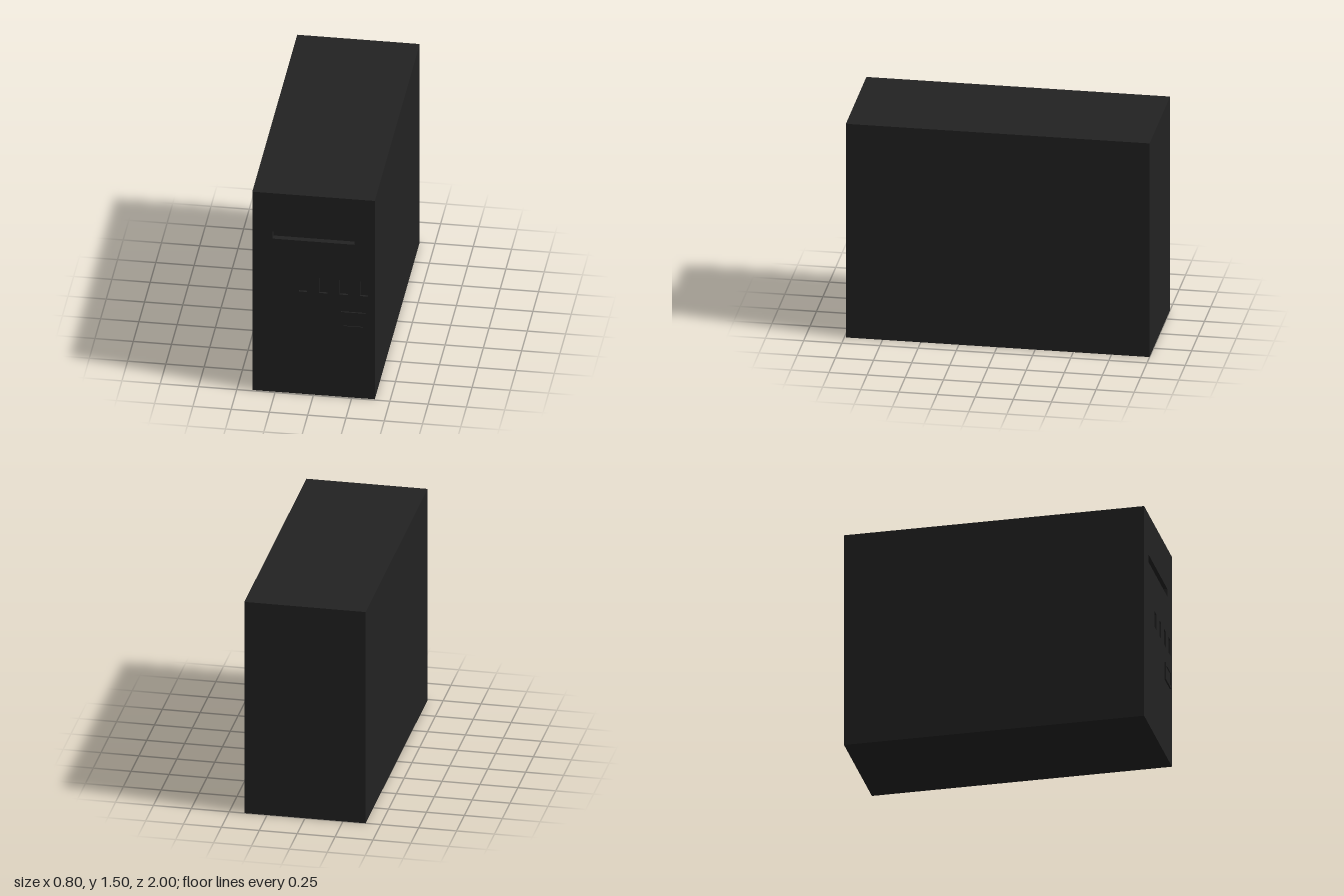
import * as THREE from 'three';

const W = 0.8, H = 1.495, FRONT = 0.99, BACK = -1;
const SLOT_DEPTH = 0.04, PORT_DEPTH = 0.015;

const material = new THREE.MeshStandardMaterial({ color: 0x222222, flatShading: true });

// Rectangle outline from its corners, usable as a shape or a hole
function rect(Type, x0, y0, x1, y1) {
  const r = new Type();
  r.moveTo(x0, y0);
  r.lineTo(x1, y0);
  r.lineTo(x1, y1);
  r.lineTo(x0, y1);
  r.closePath();
  return r;
}

function add(group, name, geometry) {
  const mesh = new THREE.Mesh(geometry, material);
  mesh.name = name;
  group.add(mesh);
  return mesh;
}

function box(group, name, x0, y0, z0, x1, y1, z1) {
  const mesh = add(group, name, new THREE.BoxGeometry(x1 - x0, y1 - y0, z1 - z0));
  mesh.position.set((x0 + x1) / 2, (y0 + y1) / 2, (z0 + z1) / 2);
  return mesh;
}

function plate(group, name, shape, z0, z1) {
  const geometry = new THREE.ExtrudeGeometry(shape, { depth: z1 - z0, bevelEnabled: false });
  add(group, name, geometry).position.z = z0;
}

export function createModel() {
  const model = new THREE.Group();
  model.name = 'computerTower';

  // Case behind the front panel
  const panelBack = FRONT - SLOT_DEPTH;
  box(model, 'case', -W / 2, 0, BACK, W / 2, H, panelBack);

  // Front panel, cut for the disc slot and the row of ports
  const panel = rect(THREE.Shape, -W / 2, 0, W / 2, H);
  panel.holes.push(rect(THREE.Path, -0.267, 1.153, 0.267, 1.207));
  for (let i = 0; i < 4; i++) {
    const x = -0.07 + i * 0.1335, half = 0.0265;
    panel.holes.push(rect(THREE.Path, x - half, 0.77, x + half, 0.881));
    // Shallow floor of each port
    box(model, 'portFloor', x - half, 0.77, panelBack, x + half, 0.881, FRONT - PORT_DEPTH);
  }
  plate(model, 'frontPanel', panel, panelBack, FRONT);

  // Raised power button frame with the button set inside it
  const frame = rect(THREE.Shape, 0.18, 0.526, 0.34, 0.645);
  frame.holes.push(rect(THREE.Path, 0.197, 0.541, 0.324, 0.63));
  plate(model, 'buttonFrame', frame, FRONT, 1);
  box(model, 'powerButton', 0.197, 0.541, FRONT - 0.01, 0.324, 0.63, FRONT + 0.004);

  return model;
}
